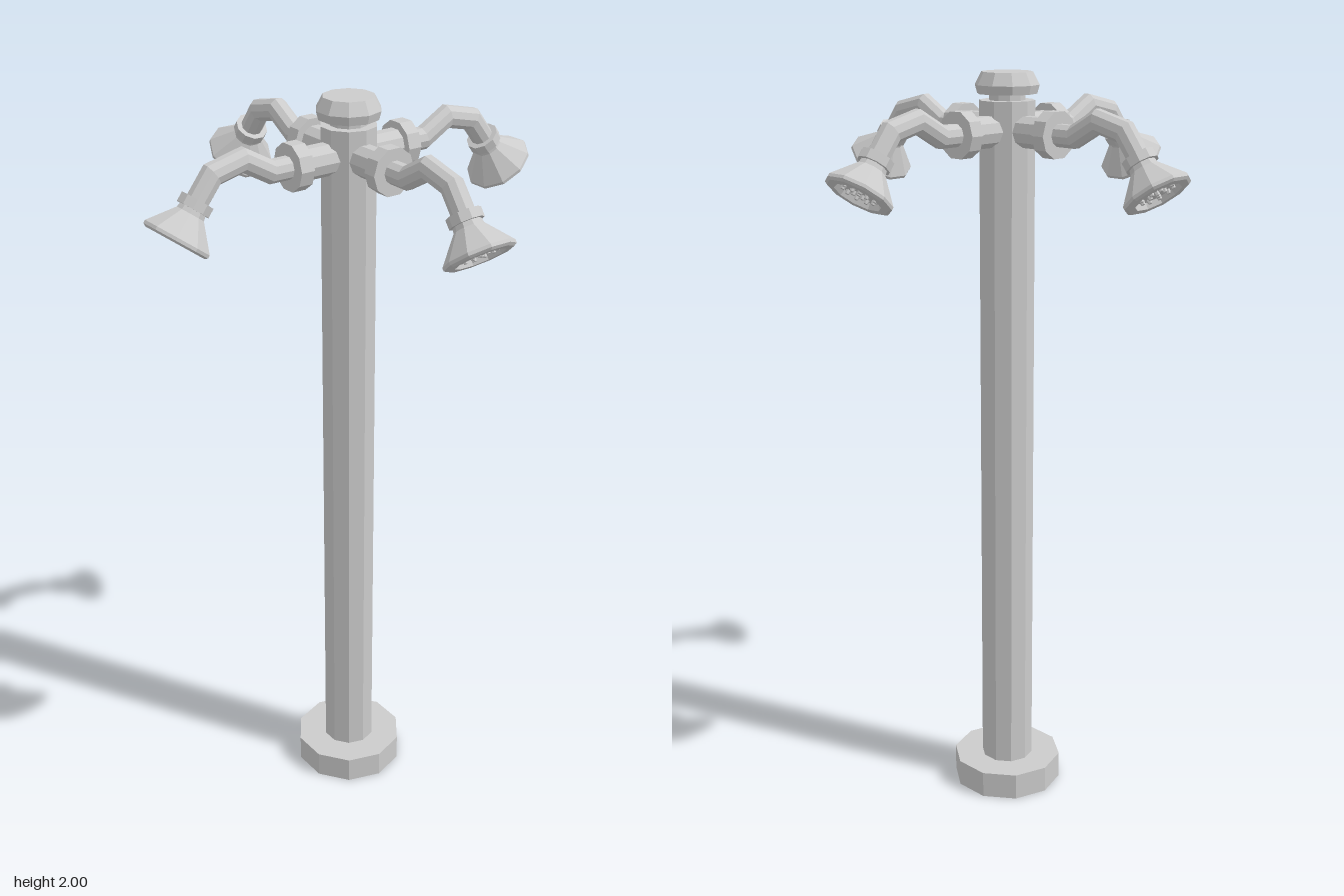
import * as THREE from 'three';

const SIDES = 10;
const material = new THREE.MeshStandardMaterial({ color: 0xcccccc, flatShading: true });

function addMesh(parent, name, geometry) {
  const mesh = new THREE.Mesh(geometry, material);
  mesh.name = name;
  parent.add(mesh);
  return mesh;
}

// Ten-sided turned solid from [radius, height] pairs, listed bottom to top
function turned(profile, start = 0) {
  const points = profile.map(([r, y]) => new THREE.Vector2(r, y));
  return new THREE.LatheGeometry(points, SIDES, start);
}

// Ten-sided pipe along a path in the xy plane, with mitred bends
function bentPipe(path, radius) {
  const pts = path.map(([x, y]) => new THREE.Vector2(x, y));
  const positions = [], index = [];
  pts.forEach((p, i) => {
    const before = pts[Math.max(i - 1, 0)], after = pts[Math.min(i + 1, pts.length - 1)];
    const dirIn = (i ? p.clone().sub(before) : after.clone().sub(p)).normalize();
    const dirOut = (i < pts.length - 1 ? after.clone().sub(p) : dirIn.clone()).normalize();
    const mid = dirIn.clone().add(dirOut).normalize();
    const stretch = 1 / mid.dot(dirIn);
    for (let j = 0; j < SIDES; j++) {
      const a = (j / SIDES) * Math.PI * 2;
      const n = radius * Math.sin(a) * stretch;
      positions.push(p.x - mid.y * n, p.y + mid.x * n, radius * Math.cos(a));
      if (i) {
        const k = (j + 1) % SIDES, lo = (i - 1) * SIDES, hi = i * SIDES;
        index.push(lo + j, hi + j, lo + k, lo + k, hi + j, hi + k);
      }
    }
  });
  const geometry = new THREE.BufferGeometry();
  geometry.setAttribute('position', new THREE.Float32BufferAttribute(positions, 3));
  geometry.setIndex(index);
  geometry.computeVertexNormals();
  return geometry;
}

function createShowerHead() {
  const head = new THREE.Group();
  head.name = 'showerHead';
  addMesh(head, 'headCollar', turned([
    [0, 0], [0.043, 0], [0.043, 0.024], [0, 0.024],
  ]));
  // Flared bell with a rolled rim and a recessed face
  addMesh(head, 'headBell', turned([
    [0.034, 0.02], [0.037, 0.036], [0.088, 0.098], [0.088, 0.106], [0.08, 0.111],
    [0.062, 0.111], [0.057, 0.096], [0, 0.096],
  ]));
  // Spray nozzles in two rings and one at the centre
  const nozzle = new THREE.CylinderGeometry(0.005, 0.007, 0.01, 6);
  [[0, 1], [0.02, 5], [0.042, 10]].forEach(([r, count]) => {
    for (let i = 0; i < count; i++) {
      const a = (i / count) * Math.PI * 2;
      addMesh(head, 'nozzle', nozzle).position.set(r * Math.sin(a), 0.101, r * Math.cos(a));
    }
  });
  return head;
}

function createArm() {
  const arm = new THREE.Group();
  arm.name = 'showerArm';
  const y = 1.855;
  addMesh(arm, 'armSocket', bentPipe([[0.02, y], [0.15, y]], 0.041));
  // Coupling ring, turned about the arm axis
  const ring = addMesh(arm, 'couplingRing', turned([
    [0, 0], [0.06, 0], [0.06, 0.038], [0, 0.038],
  ]));
  ring.rotation.z = -Math.PI / 2;
  ring.position.set(0.143, y, 0);
  addMesh(arm, 'armPipe', bentPipe(
    [[0.17, y], [0.232, y], [0.308, 1.898], [0.392, 1.878], [0.441, 1.815]], 0.029));
  // Head points outward and down, in line with the pipe end
  const head = createShowerHead();
  head.position.set(0.433, 1.825, 0);
  head.rotation.z = Math.atan2(-0.6, -0.8);
  arm.add(head);
  return arm;
}

export function createModel() {
  const model = new THREE.Group();
  model.name = 'showerColumn';
  const turn = Math.PI / 2;
  addMesh(model, 'base', turned([[0, 0], [0.152, 0], [0.152, 0.074], [0, 0.074]], turn));
  addMesh(model, 'column', turned([[0.072, 0.07], [0.072, 1.93], [0, 1.93]], turn));
  addMesh(model, 'capNeck', turned([[0.047, 1.925], [0.047, 1.955]], turn));
  addMesh(model, 'cap', turned([
    [0, 1.946], [0.077, 1.946], [0.083, 1.968], [0.066, 2], [0, 2],
  ], turn));
  // Four matching arms around the column
  for (let i = 0; i < 4; i++) {
    const arm = createArm();
    arm.rotation.y = i * Math.PI / 2;
    model.add(arm);
  }
  return model;
}
